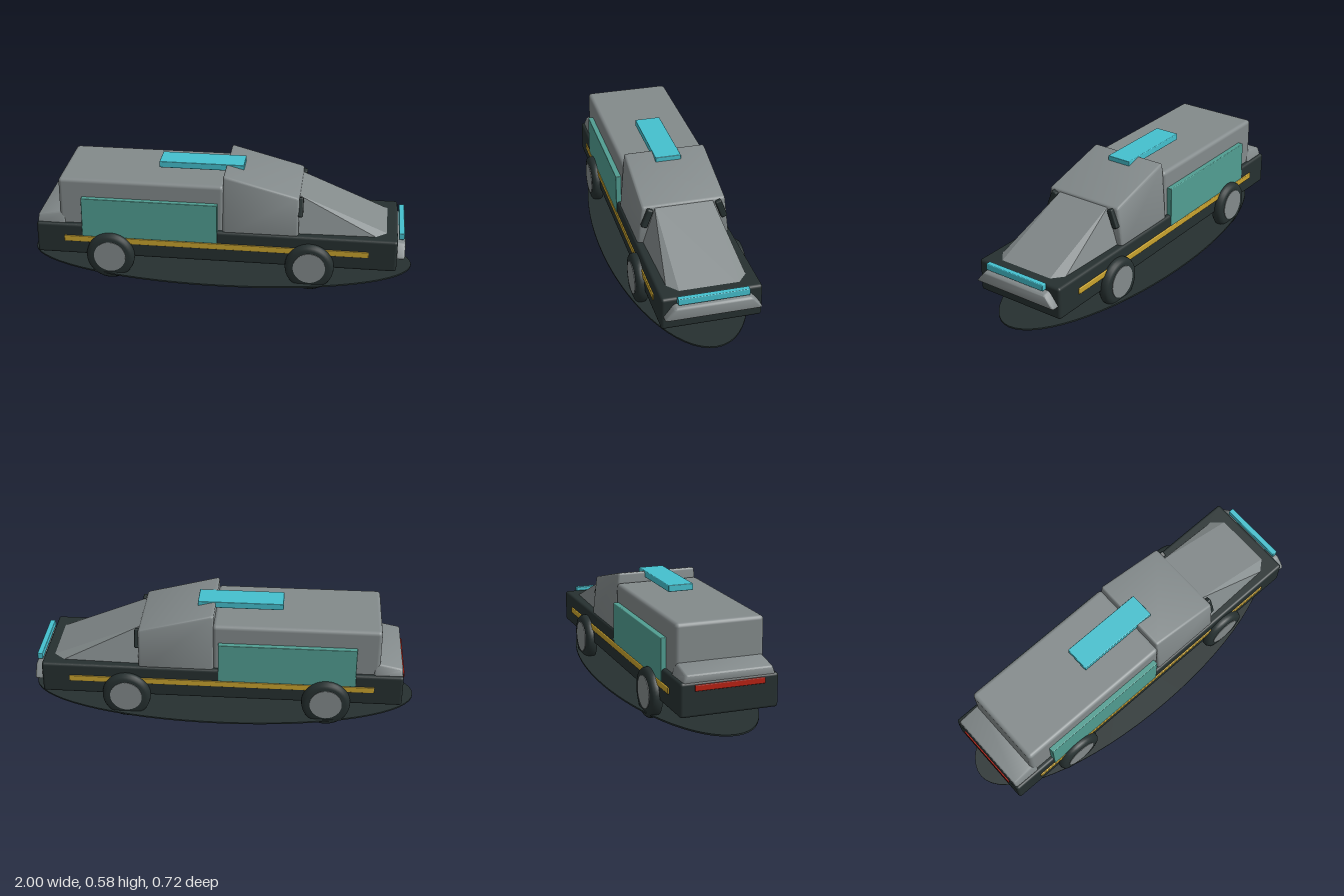
import * as THREE from 'three';
import { toCreasedNormals } from 'three/addons/utils/BufferGeometryUtils.js';
import { RoundedBoxGeometry } from 'three/addons/geometries/RoundedBoxGeometry.js';
import { ConvexGeometry } from 'three/addons/geometries/ConvexGeometry.js';

const paint = (name, color) => {
  const m = new THREE.MeshStandardMaterial({ color });
  m.name = name;
  return m;
};

export function createModel() {
  const dark = paint('dark rubber', 0x263030);
  const grey = paint('grey shell', 0x838a8b);
  const teal = paint('teal panel', 0x519e92);
  const cyan = paint('cyan light', 0x45c0ce);
  const yellow = paint('yellow stripe', 0xc9a32e);
  const red = paint('red light', 0xb82012);

  const model = new THREE.Group();
  model.name = 'vehicle';
  const car = new THREE.Group();
  car.name = 'car';
  car.rotation.y = -0.1; // the car stands slightly turned
  model.add(car);

  const add = (name, geometry, material) => {
    const mesh = new THREE.Mesh(geometry, material);
    mesh.name = name;
    car.add(mesh);
    return mesh;
  };

  // Rounded box given by its limits along x, y and z
  const block = (name, mat, x0, x1, y0, y1, z0, z1, r = 0.004) => {
    const g = new RoundedBoxGeometry(x1 - x0, y1 - y0, z1 - z0, 2, r);
    g.translate((x0 + x1) / 2, (y0 + y1) / 2, (z0 + z1) / 2);
    return add(name, g, mat);
  };

  // Rounded box with a sloping top and sides that lean inwards
  const taper = (name, mat, x0, x1, y0, topRear, topFront, wBase, wTop, r) => {
    const h = Math.max(topRear, topFront) - y0;
    let g = new RoundedBoxGeometry(x1 - x0, h, wBase * 2, 2, r);
    const p = g.attributes.position;
    for (let i = 0; i < p.count; i++) {
      const s = p.getX(i) / (x1 - x0) + 0.5;
      const t = p.getY(i) / h + 0.5;
      const top = THREE.MathUtils.lerp(topRear, topFront, s);
      p.setXYZ(i, x0 + s * (x1 - x0), y0 + t * (top - y0),
        p.getZ(i) * THREE.MathUtils.lerp(1, wTop / wBase, t));
    }
    g = toCreasedNormals(g, 0.6);
    return add(name, g, mat);
  };

  // Convex solid from corner points mirrored across the centre line
  const mirroredHull = (name, mat, corners) => add(name, new ConvexGeometry(
    corners.flatMap(([x, y, z]) => [1, -1].map((s) => new THREE.Vector3(x, y, z * s)))), mat);

  // Main shell
  block('chassis', dark, -0.93, 0.92, 0.117, 0.285, -0.245, 0.245, 0.014);
  block('rearCabin', grey, -0.81, 0.04, 0.26, 0.53, -0.222, 0.222, 0.02);
  taper('rearDeck', grey, -0.925, -0.78, 0.27, 0.32, 0.35, 0.235, 0.215, 0.012);
  taper('cab', grey, 0.035, 0.42, 0.25, 0.583, 0.48, 0.238, 0.211, 0.014);
  mirroredHull('hood', grey, [
    [0.4, 0.48, 0.145], [0.4, 0.27, 0.212], [0.83, 0.275, 0.198], [0.89, 0.275, 0.147],
  ]);

  // Nose and lights
  taper('frontBumper', grey, 0.89, 0.96, 0.185, 0.26, 0.25, 0.24, 0.185, 0.012);
  block('frontLightBar', cyan, 0.926, 0.954, 0.265, 0.299, -0.173, 0.173);
  block('tailLight', red, -0.937, -0.925, 0.242, 0.272, -0.175, 0.175);
  block('roofLight', cyan, -0.311, 0.126, 0.549, 0.583, -0.066, 0.066);

  // Tyre cross-section, revolved around the axle
  const tyreProfile = [
    [0, -0.03], [0.1, -0.03], [0.115, -0.026], [0.123, -0.015], [0.125, 0],
    [0.123, 0.015], [0.115, 0.026], [0.1, 0.03], [0, 0.03],
  ].map(([x, y]) => new THREE.Vector2(x, y));
  const tyre = toCreasedNormals(new THREE.LatheGeometry(tyreProfile, 40).rotateX(Math.PI / 2), 0.7);
  const hub = new THREE.CylinderGeometry(0.082, 0.082, 0.066, 32).rotateX(Math.PI / 2);

  for (const s of [1, -1]) {
    const side = s > 0 ? 'left' : 'right';
    const flank = (name, mat, x0, x1, y0, y1, a, b) =>
      block(side + name, mat, x0, x1, y0, y1, Math.min(a * s, b * s), Math.max(a * s, b * s));
    flank('SidePanel', teal, -0.69, 0.01, 0.222, 0.435, 0.218, 0.249);
    flank('Stripe', yellow, -0.785, 0.778, 0.19, 0.222, 0.238, 0.251);

    // Slanted dark vents beside the hood
    const vent = block(side + 'Vent', dark, -0.018, 0.018, -0.05, 0.05, -0.016, 0.016, 0.008);
    vent.position.set(0.422, 0.425, 0.188 * s);
    vent.rotation.x = -0.36 * s;

    for (const [end, x] of [['Front', 0.482], ['Rear', -0.543]]) {
      add(side + end + 'Tyre', tyre, dark).position.set(x, 0.125, 0.252 * s);
      add(side + end + 'Hub', hub, grey).position.set(x, 0.13, 0.252 * s);
    }
  }

  // Thin oval plate under the car
  const plate = add('ovalPlate', new THREE.CylinderGeometry(1, 1, 0.008, 64), dark);
  plate.scale.set(1.004, 1, 0.348);
  plate.position.y = 0.035;

  return model;
}
